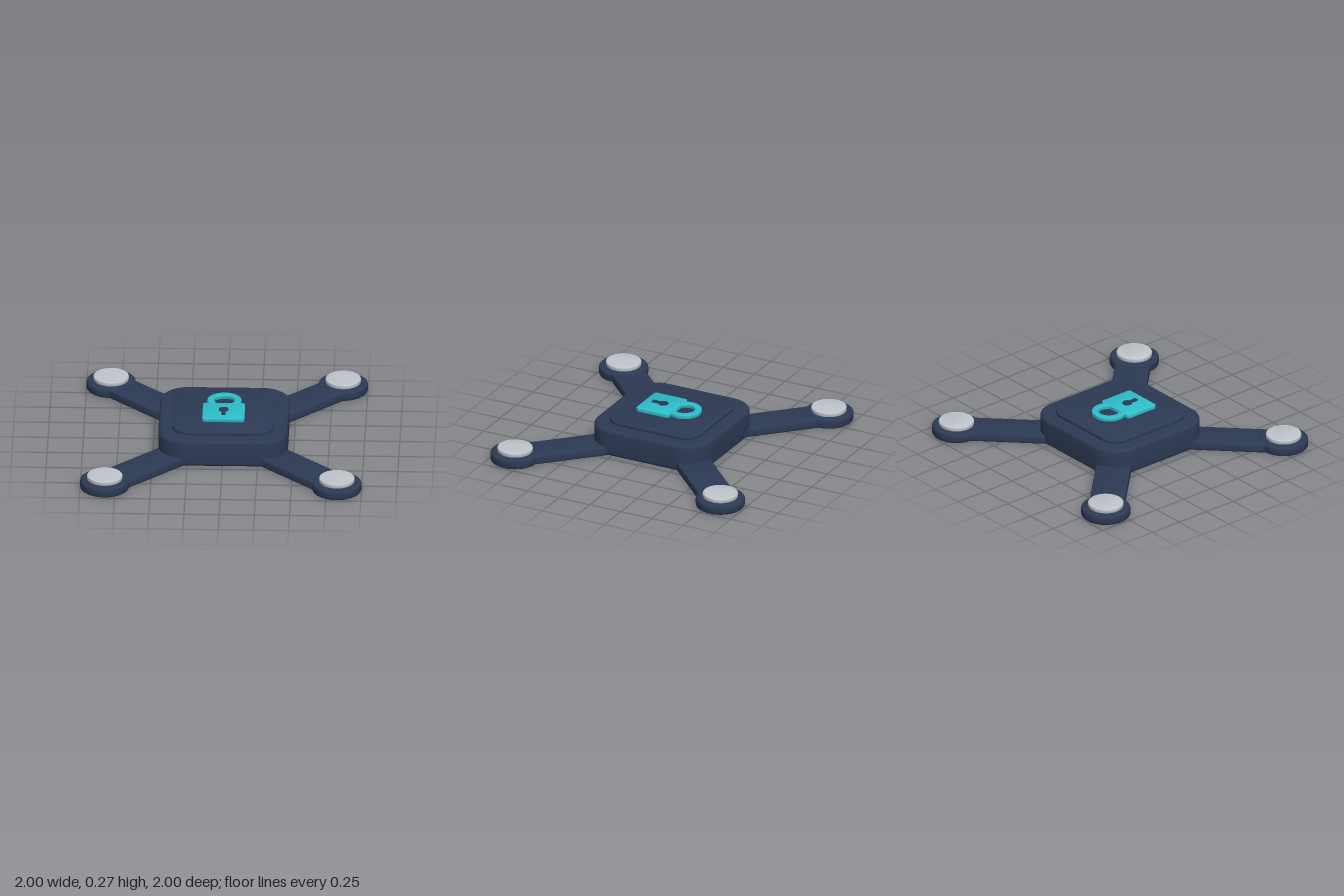
import * as THREE from 'three';
import { toCreasedNormals } from 'three/addons/utils/BufferGeometryUtils.js';

const material = (name, color) => new THREE.MeshStandardMaterial({ name, color });

function roundedRect(w, h, r, cx = 0, cy = 0) {
  const s = new THREE.Shape(), x = w / 2, y = h / 2;
  s.absarc(cx + x - r, cy + y - r, r, 0, Math.PI / 2);
  s.absarc(cx - x + r, cy + y - r, r, Math.PI / 2, Math.PI);
  s.absarc(cx - x + r, cy - y + r, r, Math.PI, Math.PI * 1.5);
  s.absarc(cx + x - r, cy - y + r, r, Math.PI * 1.5, Math.PI * 2);
  s.closePath();
  return s;
}

function disc(r) {
  return new THREE.Shape().absarc(0, 0, r, 0, Math.PI * 2);
}

// Lays a shape flat (shape y points to -z) and fills it from y0 to y1 with rounded rims
function slab(name, shape, y0, y1, bevel, mat) {
  const geo = new THREE.ExtrudeGeometry(shape, {
    depth: y1 - y0 - 2 * bevel, curveSegments: 20,
    bevelEnabled: bevel > 0, bevelSize: bevel, bevelThickness: bevel,
    bevelOffset: -bevel, bevelSegments: 4,
  });
  geo.translate(0, 0, y0 + bevel);
  geo.rotateX(-Math.PI / 2);
  const mesh = new THREE.Mesh(toCreasedNormals(geo, 0.6), mat);
  mesh.name = name;
  return mesh;
}

export function createModel() {
  const navy = material('navy shell', 0x2d3a54);
  const grey = material('light grey pad', 0xbfc5cc);
  const teal = material('teal emblem', 0x2ebfcc);

  const model = new THREE.Group();
  model.name = 'lockHub';

  // Central housing and raised lid
  model.add(slab('housing', roundedRect(0.92, 0.92, 0.2), 0, 0.2, 0.025, navy));
  model.add(slab('lid', roundedRect(0.72, 0.72, 0.13), 0.195, 0.225, 0.008, navy));

  // Four diagonal arms, each with a round end and a pad
  const reach = 0.825;
  for (const sx of [-1, 1]) for (const sz of [-1, 1]) {
    const corner = new THREE.Group();
    corner.name = (sz > 0 ? 'front' : 'back') + (sx > 0 ? 'Left' : 'Right') + 'Corner';

    const arm = slab('arm', roundedRect(0.78, 0.25, 0.015), 0, 0.066, 0.012, navy);
    arm.position.set(sx * 0.55, 0, sz * 0.55);
    arm.rotation.y = -sx * sz * Math.PI / 4;

    const end = slab('armEnd', disc(0.175), 0, 0.073, 0.018, navy);
    const pad = slab('pad', disc(0.126), 0.07, 0.105, 0.008, grey);
    for (const part of [end, pad]) part.position.set(sx * reach, 0, sz * reach);

    corner.add(arm, end, pad);
    model.add(corner);
  }

  // Padlock emblem hovering just above the lid
  const padlock = new THREE.Group();
  padlock.name = 'padlock';
  padlock.add(slab('padlockBody', roundedRect(0.3, 0.265, 0.02, 0, -0.0825), 0.235, 0.265, 0.005, teal));

  const a = THREE.MathUtils.degToRad(50);
  const shackle = new THREE.Shape();
  shackle.absarc(0, 0.102, 0.122, -a, Math.PI + a, false);
  shackle.absarc(0, 0.102, 0.073, Math.PI + a, -a, true);
  shackle.closePath();
  padlock.add(slab('shackle', shackle, 0.235, 0.265, 0.005, teal));

  // Keyhole: round head with a slot below
  const keyhole = new THREE.Shape();
  const t = Math.asin(0.015 / 0.033);
  keyhole.absarc(0, -0.067, 0.033, -Math.PI / 2 + t, Math.PI * 1.5 - t, false);
  keyhole.lineTo(-0.015, -0.155);
  keyhole.lineTo(0.015, -0.155);
  keyhole.closePath();
  padlock.add(slab('keyhole', keyhole, 0.264, 0.273, 0, navy));
  model.add(padlock);

  return model;
}
